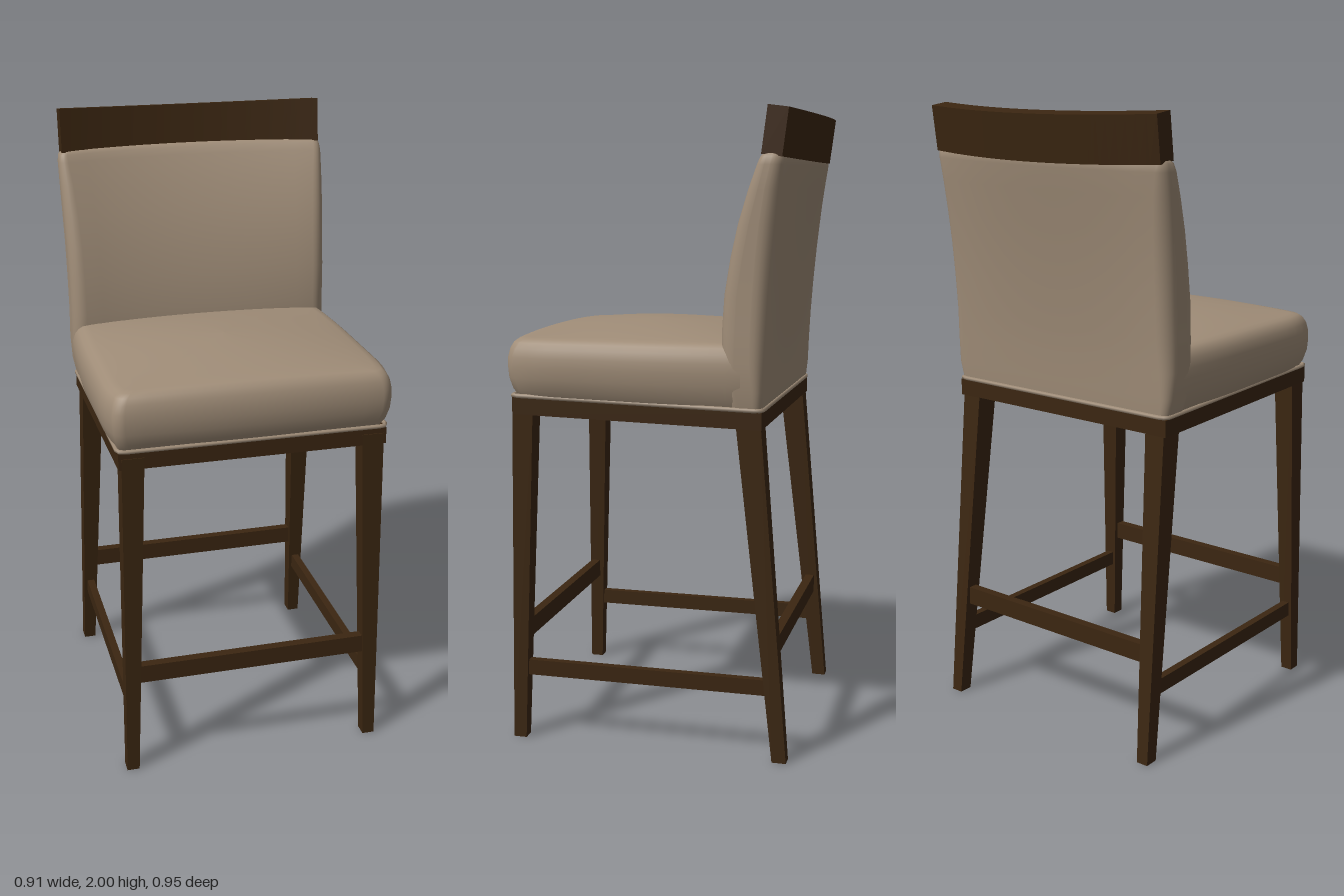
import * as THREE from 'three';

const fabric = new THREE.MeshStandardMaterial({ color: 0xa08d78 });
fabric.name = 'beige upholstery';
const wood = new THREE.MeshStandardMaterial({ color: 0x3b2611 });
wood.name = 'dark wood';

// The seat frame drops slightly towards the back
const slope = (z) => -0.024 * (0.45 - z);

// Rounded rectangle in plan, running from +x towards +z
function ring(w, zf, zb, r) {
  const corners = [[w - r, zf - r, 0], [-w + r, zf - r, 1], [-w + r, zb + r, 2], [w - r, zb + r, 3]];
  const arcs = corners.map(([cx, cz, q]) => {
    const arc = [];
    for (let i = 0; i <= 6; i++) {
      const a = (q + i / 6) * Math.PI / 2;
      arc.push([cx + r * Math.cos(a), cz + r * Math.sin(a)]);
    }
    return arc;
  });
  const pts = [];
  arcs.forEach((arc, q) => {
    pts.push(...arc);
    const [ax, az] = arc[6], [bx, bz] = arcs[(q + 1) % 4][0];
    for (let i = 1; i < 14; i++) pts.push([ax + (bx - ax) * i / 14, az + (bz - az) * i / 14]);
  });
  return pts;
}

// Skin over stacked rings of [x, y, z]
function loft(rings) {
  const n = rings[0].length, index = [];
  for (let i = 0; i < rings.length - 1; i++) {
    for (let j = 0; j < n; j++) {
      const k = (j + 1) % n, a = i * n + j, b = i * n + k;
      index.push(a, a + n, b, b, a + n, b + n);
    }
  }
  const g = new THREE.BufferGeometry();
  g.setAttribute('position', new THREE.Float32BufferAttribute(rings.flat(2), 3));
  g.setIndex(index);
  g.computeVertexNormals();
  return g;
}

// Box whose vertices are moved by a rule
function shapedBox(w, h, d, segs, rule) {
  const g = new THREE.BoxGeometry(w, h, d, segs, 1, 1);
  const p = g.attributes.position;
  for (let i = 0; i < p.count; i++) p.setXYZ(i, ...rule(p.getX(i), p.getY(i), p.getZ(i)));
  g.computeVertexNormals();
  return g;
}

// Tapered post between two rectangles [x0, x1, z0, z1]
function post(y0, lo, y1, hi) {
  return shapedBox(1, 1, 1, 1, (x, y, z) => {
    const s = y > 0 ? hi : lo;
    return [s[x > 0 ? 1 : 0], y > 0 ? y1 : y0, s[z > 0 ? 3 : 2]];
  });
}

export function createModel() {
  const model = new THREE.Group();
  const add = (name, geometry, material) => {
    const m = new THREE.Mesh(geometry, material);
    m.name = name;
    model.add(m);
  };
  const flip = (r) => [-r[1], -r[0], r[2], r[3]];

  // Legs, side stretchers and side aprons, mirrored
  for (const left of [true, false]) {
    const s = (r) => (left ? r : flip(r));
    const side = left ? 'left' : 'right';
    add(side + 'FrontLeg', post(0, s([0.386, 0.426, 0.42, 0.462]), 1.1, s([0.344, 0.414, 0.382, 0.45])), wood);
    add(side + 'BackLeg', post(0, s([0.386, 0.426, -0.435, -0.39]), 1.08, s([0.344, 0.414, -0.342, -0.264])), wood);
    const bar = s([0.387, 0.412, -0.385, 0.435]);
    add(side + 'Stretcher', post(0.21, bar, 0.26, bar), wood);
    const rail = s([0.36, 0.423, -0.348, 0.447]);
    const apron = post(1.065, rail, 1.118, rail);
    const p = apron.attributes.position;
    for (let i = 0; i < p.count; i++) p.setY(i, p.getY(i) + slope(p.getZ(i)));
    apron.computeVertexNormals();
    add(side + 'Apron', apron, wood);
  }

  // Front and back stretchers and aprons
  for (const [name, z0, z1, az0, az1] of [
    ['front', 0.422, 0.452, 0.385, 0.447], ['back', -0.392, -0.362, -0.348, -0.285]]) {
    const bar = [-0.385, 0.385, z0, z1];
    add(name + 'Stretcher', post(0.32, bar, 0.38, bar), wood);
    const rail = [-0.36, 0.36, az0, az1], dy = slope((az0 + az1) / 2);
    add(name + 'Apron', post(1.065 + dy, rail, 1.118 + dy, rail), wood);
  }

  // Underside panel
  add('seatBase', shapedBox(0.78, 0.008, 0.74, 1, (x, y, z) =>
    [x, y + 1.103 + slope(z + 0.05), z + 0.05]), fabric);

  // Piping around the bottom of the upholstery
  const pipe = ring(0.424, 0.45, -0.348, 0.02).map(([x, z]) => new THREE.Vector3(x, 1.124 + slope(z), z));
  add('piping', new THREE.TubeGeometry(new THREE.CatmullRomCurve3(pipe, true), 160, 0.007, 6, true), fabric);

  // Seat cushion: bulging sides [inset, y], then a crowned top closing inwards
  const seatRing = (inset, y, k) => ring(0.455 - inset, 0.475 - inset, -0.32, 0.03).map(([x, z]) => {
    const front = Math.max(0, (z - 0.3) / 0.17), back = Math.max(0, (0.05 - z) / 0.37);
    const u = x / 0.455;
    const px = x * (1 - 0.05 * front * front - 0.04 * back * back) * k;
    const pz = 0.07 + (z - 0.012 * u * u * Math.max(0, front) - 0.07) * k;
    const crown = 0.04 * (1 - (px / 0.43) ** 2) * (1 - ((pz - 0.1) / 0.4) ** 2);
    const lift = THREE.MathUtils.smoothstep(y, 1.2, 1.3) * Math.max(0, crown);
    return [px, y + lift + (y < 1.2 ? slope(pz) * (1.2 - y) / 0.08 : 0), pz];
  });
  const seatRings = [[0.03, 1.12], [0.014, 1.145], [0.003, 1.18], [0, 1.215], [0.001, 1.245],
    [0.008, 1.272], [0.019, 1.29], [0.034, 1.3]].map(([i, y]) => seatRing(i, y, 1));
  for (const k of [0.95, 0.85, 0.7, 0.5, 0.25, 0]) seatRings.push(seatRing(0.034, 1.302, k));
  add('seatCushion', loft(seatRings), fabric);

  // Padded back: [y, front z, back z, half width, bow, corner radius]
  const backRings = [
    [1.105, -0.25, -0.347, 0.424, 0, 0.025],
    [1.16, -0.235, -0.352, 0.436, 0, 0.03],
    [1.24, -0.222, -0.355, 0.442, 0.002, 0.04],
    [1.34, -0.219, -0.36, 0.441, 0.008, 0.045],
    [1.45, -0.225, -0.366, 0.442, 0.017, 0.045],
    [1.56, -0.242, -0.374, 0.444, 0.026, 0.045],
    [1.66, -0.264, -0.383, 0.447, 0.035, 0.043],
    [1.76, -0.295, -0.393, 0.45, 0.044, 0.038],
    [1.83, -0.322, -0.401, 0.451, 0.05, 0.03],
    [1.853, -0.333, -0.401, 0.447, 0.052, 0.025],
    [1.865, -0.345, -0.395, 0.437, 0.052, 0.018],
    [1.866, -0.369, -0.371, 0.42, 0.052, 0.001],
  ].map(([y, zf, zb, w, bow, r]) => ring(w, zf, zb, r).map(([x, z]) =>
    [x, y, z - bow * (1 - (x / w) ** 2)]));
  add('backCushion', loft(backRings), fabric);

  // Bowed and tilted top rail
  add('topRail', shapedBox(0.88, 0.14, 0.062, 28, (x, y, z) => {
    const b = 1 - (x / 0.44) ** 2;
    return [x, 1.926 + y - 0.01 * b + z * 0.13, -0.382 + z - 0.055 * b - y * 0.13];
  }), wood);

  return model;
}
